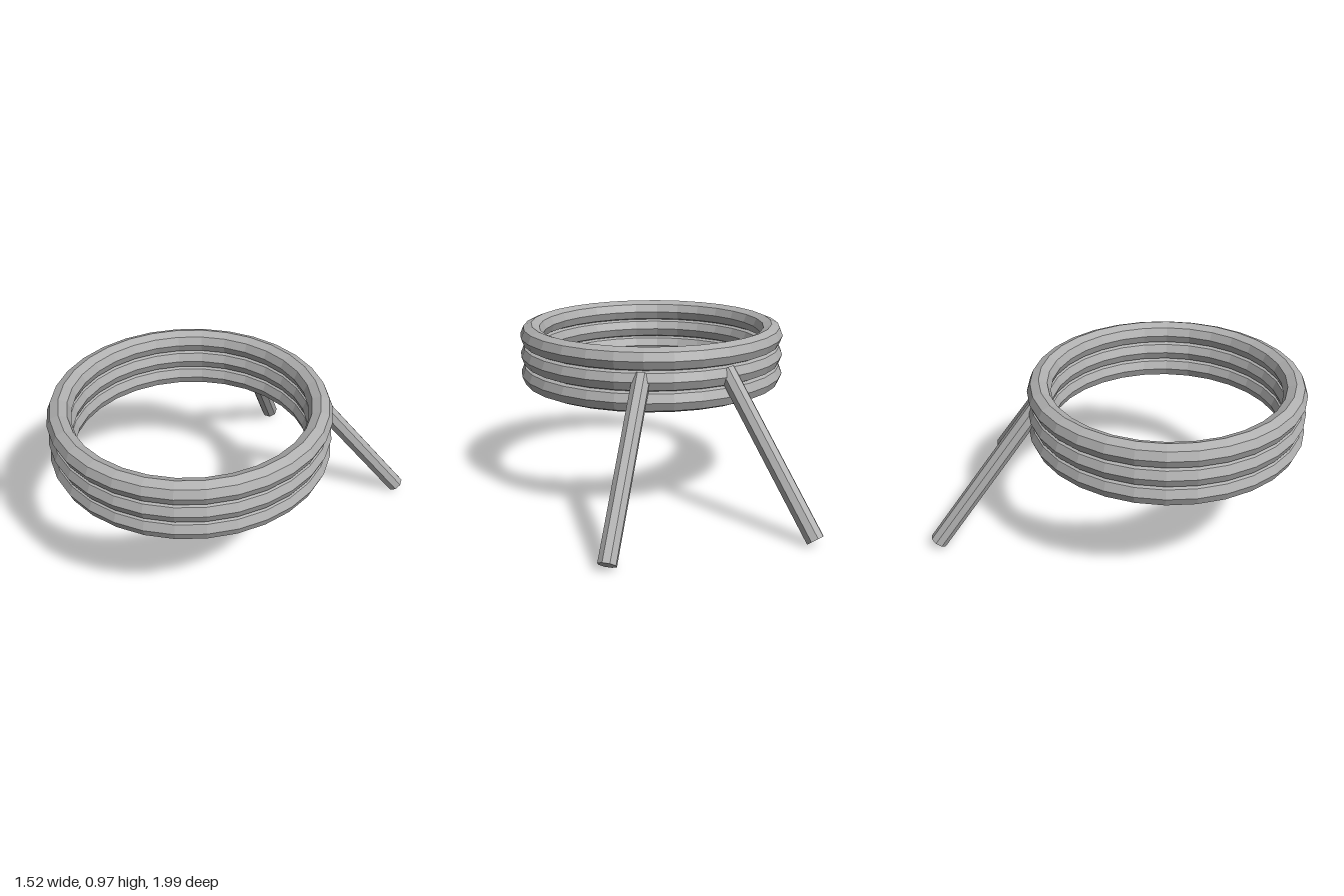
import * as THREE from 'three';

export function createModel() {
  const model = new THREE.Group();
  model.name = 'coilWithLegs';
  const grey = new THREE.MeshStandardMaterial({ color: 0xb0b0b0, flatShading: true });
  grey.name = 'grey';

  // Three stacked octagonal-section rings
  const ringGeometry = new THREE.TorusGeometry(0.695, 0.065, 8, 30).rotateX(-Math.PI / 2);
  ['lowerRing', 'middleRing', 'upperRing'].forEach((name, i) => {
    const ring = new THREE.Mesh(ringGeometry, grey);
    ring.name = name;
    ring.position.set(0, 0.685 + i * 0.11, 0.237);
    model.add(ring);
  });

  // Two splayed rods running from the middle ring down and back
  for (const side of [1, -1]) {
    const top = new THREE.Vector3(side * 0.23, 0.82, -0.43);
    const foot = new THREE.Vector3(side * 0.543, 0.031, -0.957);
    const axis = top.clone().sub(foot);
    const leg = new THREE.Mesh(new THREE.CylinderGeometry(0.05, 0.05, axis.length(), 8), grey);
    leg.name = side > 0 ? 'leftLeg' : 'rightLeg';
    leg.position.copy(top).add(foot).multiplyScalar(0.5);
    leg.quaternion.setFromUnitVectors(new THREE.Vector3(0, 1, 0), axis.normalize());
    model.add(leg);
  }
  return model;
}
